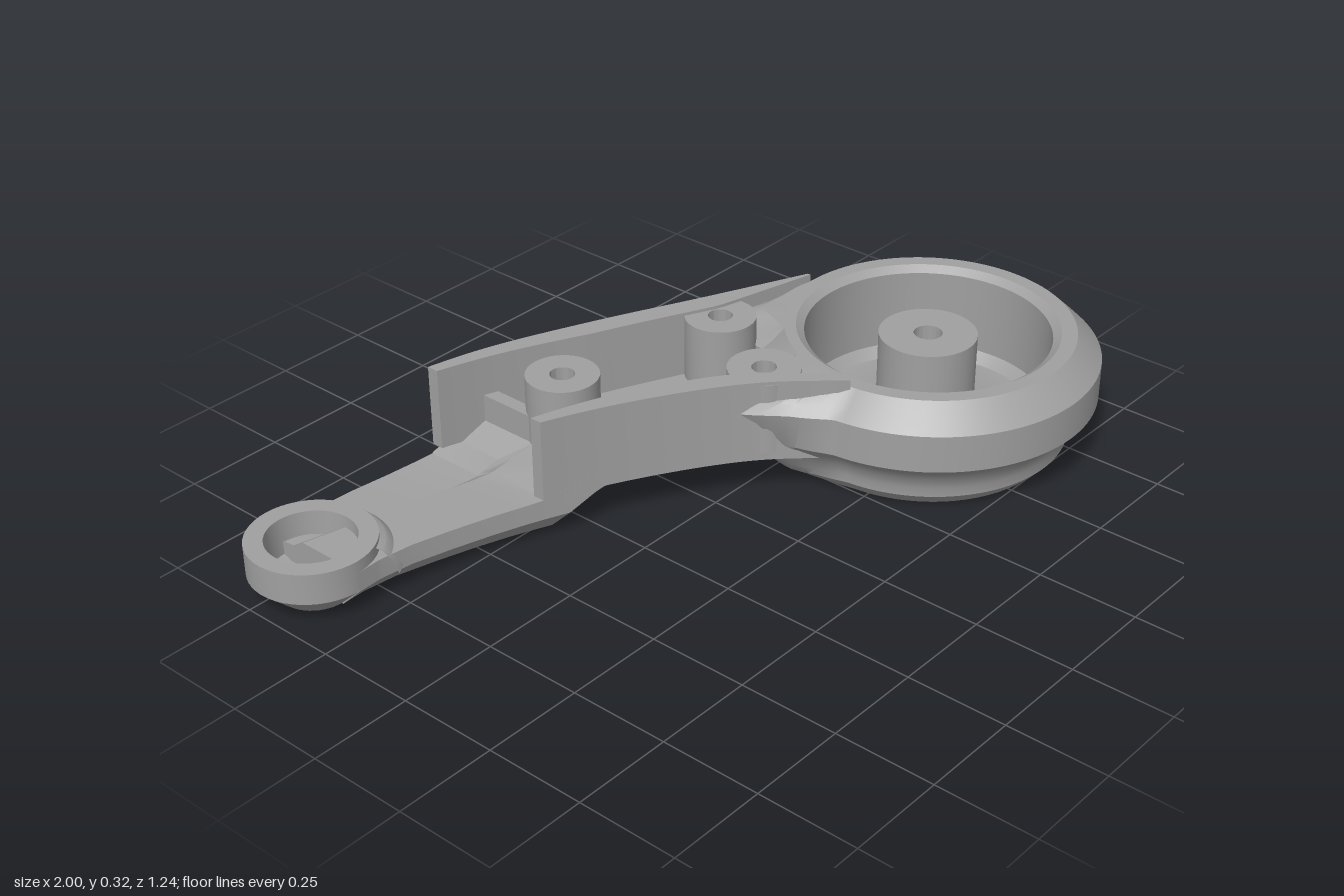
import * as THREE from 'three';
import { toCreasedNormals } from 'three/addons/utils/BufferGeometryUtils.js';

const grey = new THREE.MeshStandardMaterial({ color: 0xa0a0a0 });
grey.name = 'castGrey';

// piecewise interpolation through [x, value] pairs
function at(table, x) {
  if (x <= table[0][0]) return table[0][1];
  for (let i = 1; i < table.length; i++) {
    const [x0, v0] = table[i - 1], [x1, v1] = table[i];
    if (x <= x1) return v0 + (v1 - v0) * (x - x0) / (x1 - x0);
  }
  return table[table.length - 1][1];
}

// evenly spaced numbers from a to b
const steps = (a, b, n) => Array.from({ length: n + 1 }, (_, i) => a + (b - a) * i / n);

// skin through closed rings of [x, y, z]; optional fan caps
function skin(rings, caps) {
  const pos = [];
  const tri = (...p) => p.forEach(v => pos.push(...v));
  for (let j = 0; j + 1 < rings.length; j++) {
    const A = rings[j], B = rings[j + 1], n = A.length;
    for (let i = 0; i < n; i++) {
      const k = (i + 1) % n;
      tri(A[i], B[i], A[k]);
      tri(A[k], B[i], B[k]);
    }
  }
  if (caps) {
    const S = rings[0], E = rings[rings.length - 1];
    for (let i = 1; i + 1 < S.length; i++) {
      tri(S[0], S[i], S[i + 1]);
      tri(E[0], E[i + 1], E[i]);
    }
  }
  const g = new THREE.BufferGeometry();
  g.setAttribute('position', new THREE.Float32BufferAttribute(pos, 3));
  g.computeVertexNormals();
  return toCreasedNormals(g, 0.45);
}

// bar running along x: back and front z, bottom and top y as functions of x
function bar(xs, back, front, bottom, top) {
  return skin(xs.map(x => [
    [x, top(x), front(x)], [x, top(x), back(x)],
    [x, bottom(x), back(x)], [x, bottom(x), front(x)]
  ]), true);
}

function lathe(pairs, seg = 48, start = 0, len = Math.PI * 2) {
  const g = new THREE.LatheGeometry(pairs.map(p => new THREE.Vector2(...p)), seg, start, len);
  return toCreasedNormals(g, 0.45);
}

// plan outline of the arm
const curve = pts => {
  const c = new THREE.CatmullRomCurve3(pts.map(p => new THREE.Vector3(p[0], 0, p[1])), false, 'centripetal');
  const table = c.getPoints(60).map(p => [p.x, p.z]);
  return x => at(table, x);
};
const back = curve([[-0.85, -0.6], [-0.72, -0.605], [-0.55, -0.595], [-0.35, -0.56], [-0.2, -0.52],
  [0.05, -0.42], [0.3, -0.305], [0.57, -0.185]]);
const front = curve([[-0.85, -0.3], [-0.75, -0.3], [-0.6, -0.265], [-0.4, -0.2], [-0.2, -0.11],
  [0, 0.01], [0.1, 0.09], [0.22, 0.22]]);
const CUP = [0.58, 0.18];
// front limit of the floor, stopping at the cup wall
const floorFront = x => Math.min(front(x),
  CUP[1] - Math.sqrt(Math.max(0, 0.36 ** 2 - (x - CUP[0]) ** 2)));

// cup with flared neck, centre boss and through hole
function cupGeometry() {
  const flare = [[-185, 0], [-173, 0.065], [-164, 0.16], [-159, 0.06], [-154, -0.02], [-132, -0.02],
    [-124, 0.04], [-118, 0.112], [-106.5, 0.04], [-90, 0]];
  const full = [[-185, 0], [-173, 0.065], [-164, 0.16], [-140, 0.19], [-118, 0.112], [-106.5, 0.04], [-90, 0]];
  const N = 120;
  // [y, radius, flare amount, flare table]
  const levels = [
    [0.28, 0.035], [0.1, 0.035], [0.1, 0.066], [0, 0.066],
    [0, 0.32, 0.2, full], [0.035, 0.353, 0.35, full], [0.06, 0.355, 0.5, full], [0.09, 0.365, 0.65, full],
    [0.12, 0.39, 0.65, full], [0.145, 0.42, 0.55, flare], [0.24, 0.42, 0.95, flare],
    [0.265, 0.395, 1, flare], [0.3, 0.358, 0.5, flare],
    [0.3, 0.32], [0.285, 0.3], [0.085, 0.3], [0.06, 0.275], [0.06, 0.17], [0.07, 0.14], [0.1, 0.12],
    [0.28, 0.12], [0.28, 0.035]
  ];
  return skin(levels.map(([y, r, k = 0, table]) => Array.from({ length: N }, (_, i) => {
    const deg = -270 + 360 * i / N, a = deg * Math.PI / 180;
    const rad = r + (table ? k * at(table, deg) : 0);
    return [CUP[0] + rad * Math.cos(a), y, CUP[1] + rad * Math.sin(a)];
  })));
}

// low arm: chamfered underside with a shallow recess, stepped top, ramp up to the channel
function lowArmGeometry() {
  // [x, bottom, chamfer height, front top, back top, recess depth]
  const rows = [
    [-0.85, 0, 0.06, 0.11, 0.08, 0], [-0.79, 0, 0.06, 0.11, 0.08, 0], [-0.785, 0, 0.06, 0.11, 0.08, 0.015],
    [-0.7, 0, 0.06, 0.11, 0.075, 0.015], [-0.6, 0, 0.06, 0.11, 0.075, 0.015], [-0.5, 0, 0.06, 0.11, 0.075, 0.015],
    [-0.42, 0, 0.06, 0.11, 0.08, 0.015], [-0.375, 0, 0.06, 0.112, 0.085, 0.015], [-0.37, 0, 0.06, 0.113, 0.09, 0],
    [-0.32, 0, 0.06, 0.13, 0.11, 0], [-0.26, 0.055, 0.045, 0.15, 0.15, 0], [-0.2, 0.113, 0.02, 0.15, 0.15, 0]
  ];
  return skin(rows.map(([x, b, h, t, tb, d]) => {
    const zb = back(x), zf = front(x), ridge = -0.44 + 0.24 * (x + 0.68);
    return [
      [t, zf], [t, ridge], [tb, ridge - 0.045], [tb, zb], [b + h, zb], [b, zb + h],
      [b, zb + 0.1], [b + d, zb + 0.1], [b + d, zf - 0.1], [b, zf - 0.1], [b, zf - h], [b + h, zf]
    ].map(([y, z]) => [x, y, z]);
  }), true);
}

export function createModel() {
  const model = new THREE.Group();
  model.name = 'leverArm';
  const add = (name, geometry, x = 0, z = 0) => {
    const m = new THREE.Mesh(geometry, grey);
    m.name = name;
    m.position.set(x, 0, z);
    model.add(m);
  };
  const c = v => () => v;

  add('cup', cupGeometry());
  add('lowArm', lowArmGeometry());

  // eyelet at the far end with a sloped collar on the arm side
  add('eyelet', lathe([[0, 0], [0.085, 0], [0.15, 0.062], [0.15, 0.14], [0.105, 0.14], [0.1, 0.05],
    [0.075, 0.04], [0, 0.04]]), -0.85, -0.45);
  add('eyeletCollar', lathe([[0.2, 0.07], [0.185, 0.105], [0.165, 0.125], [0.145, 0.132]], 24, 0.5, 2.3), -0.85, -0.45);

  // channel floor and its two side walls
  add('channelFloor', bar(steps(-0.24, 0.4, 32), back, floorFront, c(0.13), c(0.15)));
  const backT = [[-0.37, 0.03], [-0.2, 0.045], [0, 0.06], [0.3, 0.06], [0.57, 0.008]];
  add('backWall', bar(steps(-0.37, 0.57, 36), back, x => back(x) + at(backT, x), c(0.11), c(0.32)));
  const frontT = [[-0.38, 0.03], [-0.2, 0.05], [0.1, 0.065], [0.22, 0.05]];
  add('frontWall', bar(steps(-0.38, 0.22, 26), x => front(x) - at(frontT, x), front, c(0.11), c(0.32)));
  add('channelEndWall', bar([-0.26, -0.225], back, x => front(x) - 0.01, c(0.13), c(0.22)));

  // ribs under the channel
  for (let i = 1; i <= 5; i++) {
    const mid = x => THREE.MathUtils.lerp(back(x), floorFront(x), i / 6);
    add('undersideRib', bar(steps(-0.24, 0.26, 14), x => mid(x) - 0.016, x => mid(x) + 0.016, c(0.11), c(0.14)));
  }

  // screw bosses
  for (const [x, z] of [[-0.18, -0.315], [0.275, -0.22], [0.15, 0.02]]) {
    add('screwBoss', lathe([[0.088, 0.13], [0.088, 0.312], [0.03, 0.312], [0.03, 0.18], [0, 0.18]], 32), x, z);
  }
  return model;
}
